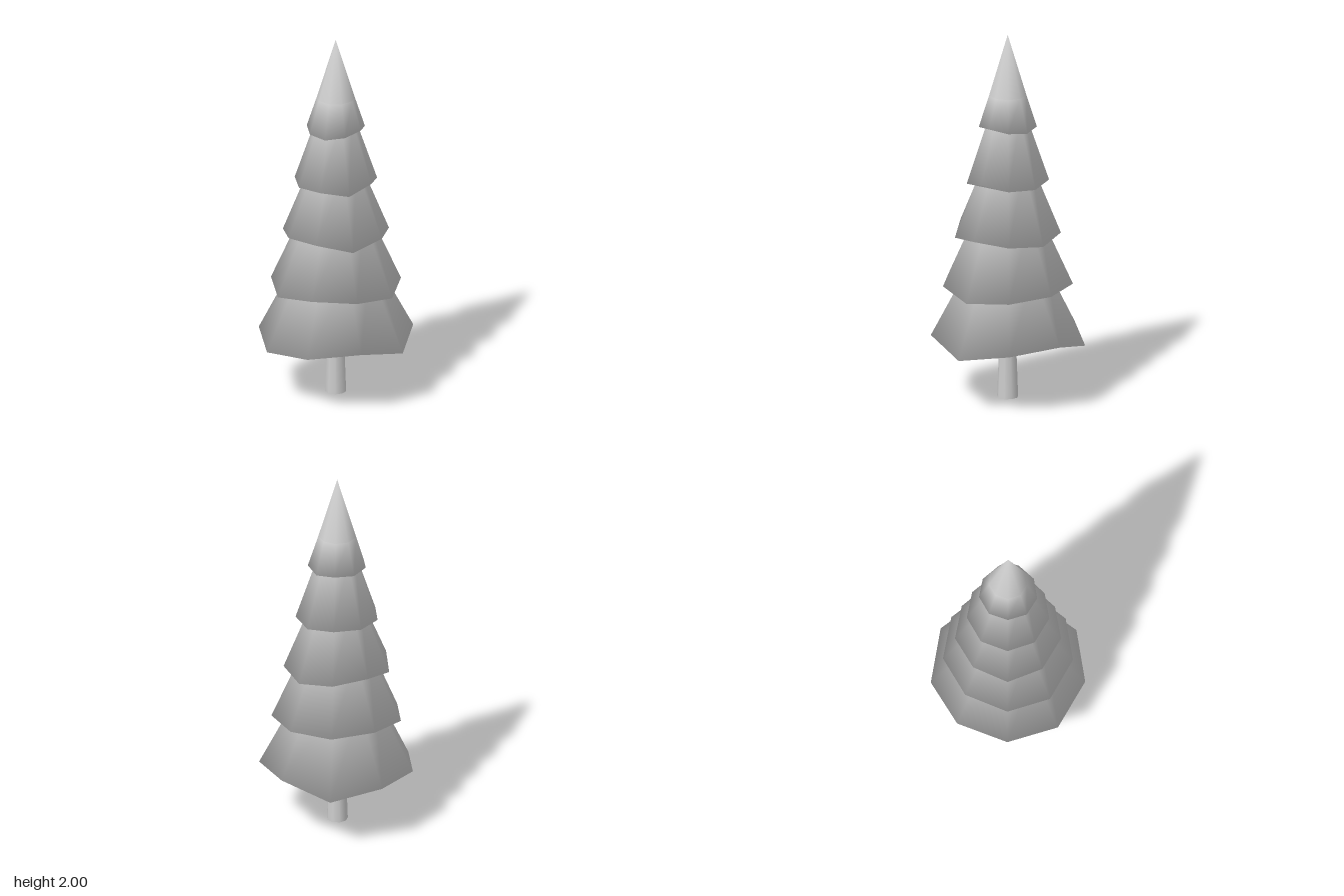
import * as THREE from 'three';

const SIDES = 9;
const CENTRE_Z = 0.012;

// Ring of points around the trunk axis, starting at the back
function ring(radius, heights) {
  const points = [];
  for (let i = 0; i < SIDES; i++) {
    const a = (i / SIDES) * Math.PI * 2;
    const y = Array.isArray(heights) ? heights[i] : heights;
    points.push(Math.sin(a) * radius, y, -Math.cos(a) * radius);
  }
  return points;
}

function buildGeometry(positions, normals, index) {
  const geometry = new THREE.BufferGeometry();
  geometry.setAttribute('position', new THREE.Float32BufferAttribute(positions, 3));
  geometry.setAttribute('normal', new THREE.Float32BufferAttribute(normals, 3));
  geometry.setIndex(index);
  geometry.normalizeNormals();
  return geometry;
}

// Flared skirt of branches with an uneven rim and a closed underside
function tierGeometry(rimRadius, rimHeights, topRadius, topY) {
  const positions = [...ring(rimRadius, rimHeights), ...ring(topRadius, topY)];
  // Soft shading that rolls over the rim into the underside
  const normals = [...ring(1, -0.6), ...ring(1, 0.4)];
  const index = [];
  for (let i = 0; i < SIDES; i++) {
    const j = (i + 1) % SIDES;
    index.push(i, i + SIDES, j, j, i + SIDES, j + SIDES);
  }
  // Underside, folded between the high and low rim corners
  index.push(5, 6, 7, 4, 5, 7, 1, 2, 3);
  const rest = [7, 8, 0, 1, 3];
  for (let k = 0; k < rest.length - 1; k++) index.push(4, rest[k], rest[k + 1]);
  return buildGeometry(positions, normals, index);
}

// Pointed top with its normals meeting at the apex
function tipGeometry(radius, baseY, apexY) {
  const positions = [...ring(radius, baseY), 0, apexY, 0];
  const normals = [...ring(1, 0.31), 0, 1, 0];
  const index = [];
  for (let i = 0; i < SIDES; i++) index.push(i, SIDES, (i + 1) % SIDES);
  return buildGeometry(positions, normals, index);
}

export function createModel() {
  const tree = new THREE.Group();
  tree.name = 'tree';
  const grey = new THREE.MeshStandardMaterial({ color: 0xcccccc });
  grey.name = 'light grey';

  function add(name, geometry, y = 0) {
    const mesh = new THREE.Mesh(geometry, grey);
    mesh.name = name;
    mesh.position.set(0, y, CENTRE_Z);
    tree.add(mesh);
  }

  // Trunk
  add('trunk', new THREE.CylinderGeometry(0.034, 0.056, 0.6, SIDES), 0.3);

  // Branch tiers, from the bottom up
  const tiers = [
    { r: 0.412, rim: [0.37, 0.35, 0.3, 0.365, 0.335, 0.3, 0.33, 0.345, 0.3], top: 0.205, topY: 0.74 },
    { r: 0.347, rim: [0.635, 0.62, 0.6, 0.63, 0.64, 0.6, 0.62, 0.65, 0.64], top: 0.17, topY: 1.02 },
    { r: 0.283, rim: [0.895, 0.91, 0.925, 0.895, 0.935, 0.925, 0.9, 0.94, 0.92], top: 0.125, topY: 1.3 },
    { r: 0.22, rim: [1.195, 1.2, 1.225, 1.19, 1.21, 1.2, 1.2, 1.205, 1.21], top: 0.098, topY: 1.56 },
    { r: 0.155, rim: [1.49, 1.5, 1.515, 1.5, 1.485, 1.49, 1.5, 1.495, 1.5], top: 0.1, topY: 1.67 },
  ];
  tiers.forEach((t, i) => add(`branchTier${i + 1}`, tierGeometry(t.r, t.rim, t.top, t.topY)));

  // Treetop
  add('treetop', tipGeometry(0.1, 1.67, 2));

  return tree;
}
